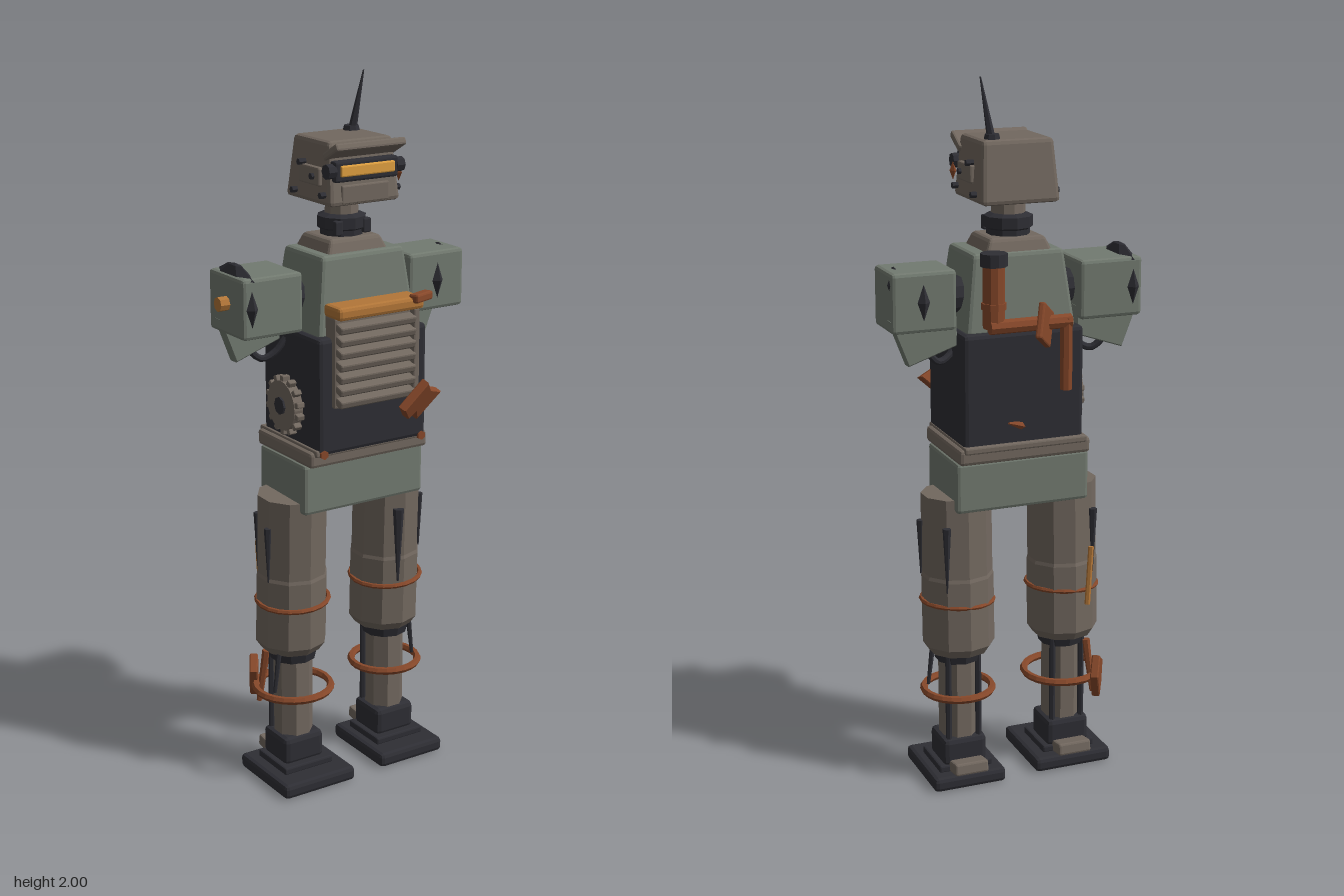
import * as THREE from 'three';
import { RoundedBoxGeometry } from 'three/addons/geometries/RoundedBoxGeometry.js';

const mat = (color) => new THREE.MeshStandardMaterial({ color, flatShading: true, side: THREE.DoubleSide });
const GREEN = mat(0x727a70), BROWN = mat(0x72685f), DARK = mat(0x2e2e34);
const AMBER = mat(0xb27638), RUST = mat(0x87482a), GLOW = mat(0xe0a040);

export function createModel() {
  const root = new THREE.Group();
  root.name = 'robot';

  const add = (name, geo, m, x = 0, y = 0, z = 0, rx = 0, ry = 0, rz = 0, parent = root) => {
    const mesh = new THREE.Mesh(geo, m);
    mesh.name = name;
    mesh.position.set(x, y, z);
    mesh.rotation.set(rx, ry, rz);
    parent.add(mesh);
    return mesh;
  };
  // Chamfered box; the top is scaled by tx, tz for a taper
  const box = (w, h, d, r = 0.008, tx = 1, tz = 1) => {
    const g = new RoundedBoxGeometry(w, h, d, 1, Math.min(r, w / 2.5, h / 2.5, d / 2.5));
    const p = g.attributes.position;
    for (let i = 0; i < p.count; i++) {
      const t = p.getY(i) / h + 0.5;
      p.setX(i, p.getX(i) * (1 + (tx - 1) * t));
      p.setZ(i, p.getZ(i) * (1 + (tz - 1) * t));
    }
    g.computeVertexNormals();
    return g;
  };
  const cyl = (rt, rb, h, n = 10) => new THREE.CylinderGeometry(rt, rb, h, n);
  const lathe = (pts, n) => new THREE.LatheGeometry(pts.map(([r, y]) => new THREE.Vector2(r, y)), n);
  const plate = (pts, depth) => {
    const g = new THREE.ExtrudeGeometry(new THREE.Shape(pts.map(([x, y]) => new THREE.Vector2(x, y))),
      { depth, bevelEnabled: true, bevelSize: 0.003, bevelThickness: 0.003, bevelSegments: 1 });
    return g.translate(0, 0, -depth / 2);
  };
  const tube = (pts, r, n = 8) => new THREE.TubeGeometry(
    new THREE.CatmullRomCurve3(pts.map((p) => new THREE.Vector3(...p))), 16, r, n);
  const diamond = (w, h, d) => new THREE.OctahedronGeometry(1).scale(w / 2, h / 2, d / 2);

  // Head
  add('head', box(0.225, 0.17, 0.225, 0.012, 0.9, 0.77), BROWN, 0.01, 1.755, 0.003);
  add('brow', box(0.222, 0.022, 0.075, 0.006), BROWN, 0.01, 1.816, 0.108, -0.5);
  add('visorFrame', box(0.2, 0.056, 0.05, 0.006), DARK, 0.01, 1.763, 0.096);
  add('visor', box(0.17, 0.03, 0.02, 0.004), GLOW, 0.01, 1.765, 0.118);
  add('mouthPlate', box(0.15, 0.05, 0.012, 0.004), BROWN, 0.01, 1.7, 0.109);
  for (const s of [-1, 1]) {
    add('earPanel', box(0.022, 0.05, 0.1, 0.005), BROWN, 0.01 + s * 0.108, 1.745, 0.018);
    add('visorHinge', cyl(0.02, 0.02, 0.025, 8), DARK, 0.01 + s * 0.108, 1.765, 0.105, 0, 0, Math.PI / 2);
    for (const [y, z] of [[1.775, -0.02], [1.745, 0.04], [1.7, 0.085], [1.695, -0.055]])
      add('headBolt', cyl(0.009, 0.009, 0.03, 6), DARK, 0.01 + s * 0.112, y, z, 0, 0, Math.PI / 2);
  }
  add('rustPatch', diamond(0.02, 0.05, 0.03), RUST, 0.132, 1.74, 0.09);
  add('antennaBase', cyl(0.02, 0.025, 0.02, 8), DARK, 0.073, 1.843, -0.05);
  add('antenna', cyl(0.002, 0.012, 0.165, 6), DARK, 0.085, 1.92, -0.037, 0.12, 0, -0.14);

  // Neck and collar
  add('neck', cyl(0.045, 0.05, 0.12, 10), BROWN, 0.005, 1.63, 0.005);
  add('neckRing', lathe([[0, 0], [0.06, 0], [0.06, 0.025], [0.068, 0.03], [0.068, 0.06], [0.05, 0.068], [0, 0.068]], 10),
    DARK, 0.005, 1.565, 0.005);
  for (const s of [-1, 1]) add('neckBolt', box(0.025, 0.04, 0.02, 0.004), DARK, 0.005 + s * 0.045, 1.6, 0.055);
  add('collar', box(0.21, 0.06, 0.185, 0.01, 0.75, 0.75), BROWN, 0.005, 1.545, 0.005);

  // Torso
  add('chest', box(0.32, 0.22, 0.24, 0.012, 0.82, 0.8), GREEN, 0.01, 1.43, 0.01);
  add('torso', box(0.35, 0.325, 0.285, 0.012), DARK, 0.01, 1.168, 0.014);
  add('belt', box(0.385, 0.045, 0.28, 0.01), BROWN, 0.008, 0.992, 0.004);
  add('beltTrim', box(0.36, 0.02, 0.295, 0.005), BROWN, 0.008, 1.012, 0.005);
  for (const x of [-0.15, 0.17]) add('beltBolt', cyl(0.013, 0.013, 0.02, 6), RUST, x, 1.01, 0.15, Math.PI / 2);
  add('pelvis', box(0.392, 0.145, 0.235, 0.01), GREEN, 0.008, 0.9, 0);

  // Chest grille
  add('grilleBack', box(0.26, 0.25, 0.05, 0.005), BROWN, 0.005, 1.262, 0.145);
  for (let i = 0; i < 7; i++)
    add('grilleSlat', box(0.245, 0.022, 0.032, 0.005), BROWN, 0.002, 1.155 + i * 0.034, 0.178, 0.3);
  add('grillePost', box(0.02, 0.25, 0.05, 0.005), BROWN, 0.128, 1.262, 0.165);
  add('grilleBar', box(0.275, 0.036, 0.08, 0.01), AMBER, 0.008, 1.402, 0.16);
  add('barScrap', box(0.085, 0.025, 0.03, 0.006), RUST, 0.145, 1.414, 0.182, 0, 0.45, -0.05);
  add('frontScrap', plate([[-0.07, -0.005], [0, 0.06], [0.02, 0.03], [0.068, 0.008],
    [-0.005, -0.055], [-0.018, -0.025], [-0.045, -0.04]], 0.02), RUST, 0.135, 1.13, 0.198, 0.4, 0.25);

  // Side gear
  const gear = new THREE.Group();
  gear.name = 'sideGear';
  gear.position.set(-0.182, 1.12, 0.01);
  root.add(gear);
  add('gearDisc', cyl(0.07, 0.07, 0.028, 20), BROWN, 0, 0, 0, 0, 0, Math.PI / 2, gear);
  add('gearHub', cyl(0.025, 0.025, 0.04, 8), DARK, 0, 0, 0, 0, 0, Math.PI / 2, gear);
  for (let i = 0; i < 14; i++) {
    const a = (i / 14) * Math.PI * 2;
    add('gearTooth', box(0.024, 0.02, 0.016, 0.003), BROWN, 0, Math.cos(a) * 0.074, Math.sin(a) * 0.074, a, 0, 0, gear);
  }

  // Exhaust and back pipes
  add('exhaust', cyl(0.03, 0.03, 0.18), RUST, 0.104, 1.44, -0.14);
  add('exhaustCap', cyl(0.037, 0.037, 0.035), DARK, 0.104, 1.535, -0.14);
  add('exhaustBand', cyl(0.034, 0.034, 0.018), RUST, 0.104, 1.41, -0.14);
  add('exhaustBracket', box(0.03, 0.03, 0.07, 0.005), RUST, 0.104, 1.42, -0.1);
  add('crossPipe', cyl(0.02, 0.02, 0.235, 8), RUST, 0.005, 1.355, -0.155, 0, 0, Math.PI / 2);
  add('downPipe', cyl(0.018, 0.018, 0.2, 8), RUST, -0.1, 1.265, -0.155);
  add('backScrap', box(0.12, 0.1, 0.018, 0.005), RUST, -0.027, 1.355, -0.178, 0, 0.94, 0.45);
  add('backSpike', cyl(0.003, 0.014, 0.09, 6), RUST, 0.04, 1.075, -0.14, -1.1, 0, -0.8);

  // Arms: shoulder boxes, rear plates and hoses
  const arms = [
    { s: -1, x: -0.26, z: -0.007, w: 0.185, d: 0.18 },
    { s: 1, x: 0.277, z: -0.004, w: 0.183, d: 0.153 },
  ];
  for (const { s, x, z, w, d } of arms) {
    add('shoulder', box(w, 0.165, d, 0.01), GREEN, x, 1.42, z);
    add('shoulderJoint', cyl(0.05, 0.05, 0.12), DARK, x - s * 0.11, 1.42, z, 0, 0, Math.PI / 2);
    add('armPlate', plate([[-0.09 * s, 0.02], [0.09 * s, 0.02], [0.043 * s, -0.1], [-0.09 * s, -0.055]], 0.03),
      GREEN, x, 1.35, -0.055);
    add('armHose', tube([[s * 0.16, 1.3, -0.02], [s * 0.19, 1.26, -0.03], [s * 0.225, 1.245, -0.04],
      [s * 0.26, 1.28, -0.05], [s * 0.27, 1.35, -0.05]], 0.01), DARK);
    for (const f of [-1, 1])
      add('shoulderMark', diamond(0.035, 0.1, 0.03), DARK, s > 0 ? 0.28 : -0.325, 1.42, z + f * d / 2);
  }
  add('shoulderHump', lathe([[0, 0.035], [0.035, 0.03], [0.1, 0], [0, 0]], 6).scale(0.28, 1, 1.0),
    DARK, -0.323, 1.495, -0.007);
  add('shoulderKnob', cyl(0.02, 0.02, 0.04, 8), AMBER, -0.36, 1.425, -0.003, 0, 0, Math.PI / 2);
  add('sideMark', diamond(0.016, 0.045, 0.03), DARK, 0.366, 1.47, -0.058);
  add('topMark', diamond(0.012, 0.012, 0.04), DARK, 0.337, 1.502, -0.003);

  // Legs
  for (const { s, x, z, fw, ring } of [
    { s: -1, x: -0.157, z: 0, fw: 0.235, ring: 0.108 },
    { s: 1, x: 0.168, z: -0.012, fw: 0.217, ring: 0.098 },
  ]) {
    const leg = new THREE.Group();
    leg.name = s > 0 ? 'leftLeg' : 'rightLeg';
    leg.position.set(x, 0, z);
    root.add(leg);
    const part = (name, geo, m, ...t) => {
      const v = [...t, 0, 0, 0, 0, 0, 0].slice(0, 6);
      return add(name, geo, m, ...v, leg);
    };
    part('thigh', lathe([[0, 0.395], [0.085, 0.395], [0.102, 0.42], [0.102, 0.62], [0.099, 0.63],
      [0.099, 0.86], [0, 0.86]], 10), BROWN, 0, 0, -0.022, 0.03);
    part('kneeRing', cyl(0.075, 0.065, 0.04), DARK, 0, 0.385, 0);
    part('shin', cyl(0.056, 0.056, 0.3, 8), BROWN, 0, 0.25, 0, 0, Math.PI / 8);
    for (const f of [-1, 1])
      part('shinPiston', cyl(0.009, 0.009, 0.28, 6), DARK, f * 0.045, 0.255, -0.045);
    part('ankle', box(0.13, 0.085, 0.125, 0.015), DARK, 0, 0.095, 0);
    part('ankleFlange', box(0.16, 0.022, 0.15, 0.005), DARK, 0, 0.05, 0.01);
    part('foot', box(fw, 0.042, 0.255, 0.012), DARK, 0, 0.021, 0.022);
    part('heel', box(0.1, 0.035, 0.06, 0.006), BROWN, 0, 0.06, -0.085, 0.15);
    part('shinRing', new THREE.TorusGeometry(ring, 0.011, 6, 24), RUST, 0, 0.272, 0, Math.PI / 2);
    part('thighWire', new THREE.TorusGeometry(0.102, 0.007, 6, 20), RUST, 0, 0.545, 0, Math.PI / 2 + 0.04, 0.04);
    part('sideCrack', cyl(0.011, 0.002, 0.16, 6), DARK, s * 0.097, 0.7, 0.03);
    part('rearCrack', cyl(0.012, 0.002, 0.19, 6), DARK, s * 0.06, 0.69, -0.085);
    part('calfCable', cyl(0.008, 0.005, 0.12, 6), DARK, s * 0.072, 0.34, 0.03, 0, 0, s * 0.12);
  }
  add('frontCrack', cyl(0.016, 0.003, 0.22, 6), DARK, 0.146, 0.665, 0.086);
  add('thighRod', cyl(0.008, 0.008, 0.17, 6), AMBER, -0.19, 0.6, -0.125, 0.05, 0, 0.08);
  add('calfScrap', plate([[-0.04, 0.03], [0.01, 0.06], [0.045, 0.01], [0.01, -0.06], [-0.02, -0.03]], 0.018),
    RUST, -0.228, 0.28, -0.1, 0, 1.0);
  add('calfRod', cyl(0.012, 0.008, 0.16, 6), RUST, -0.222, 0.295, -0.06, 0.1, 0, -0.1);

  return root;
}
